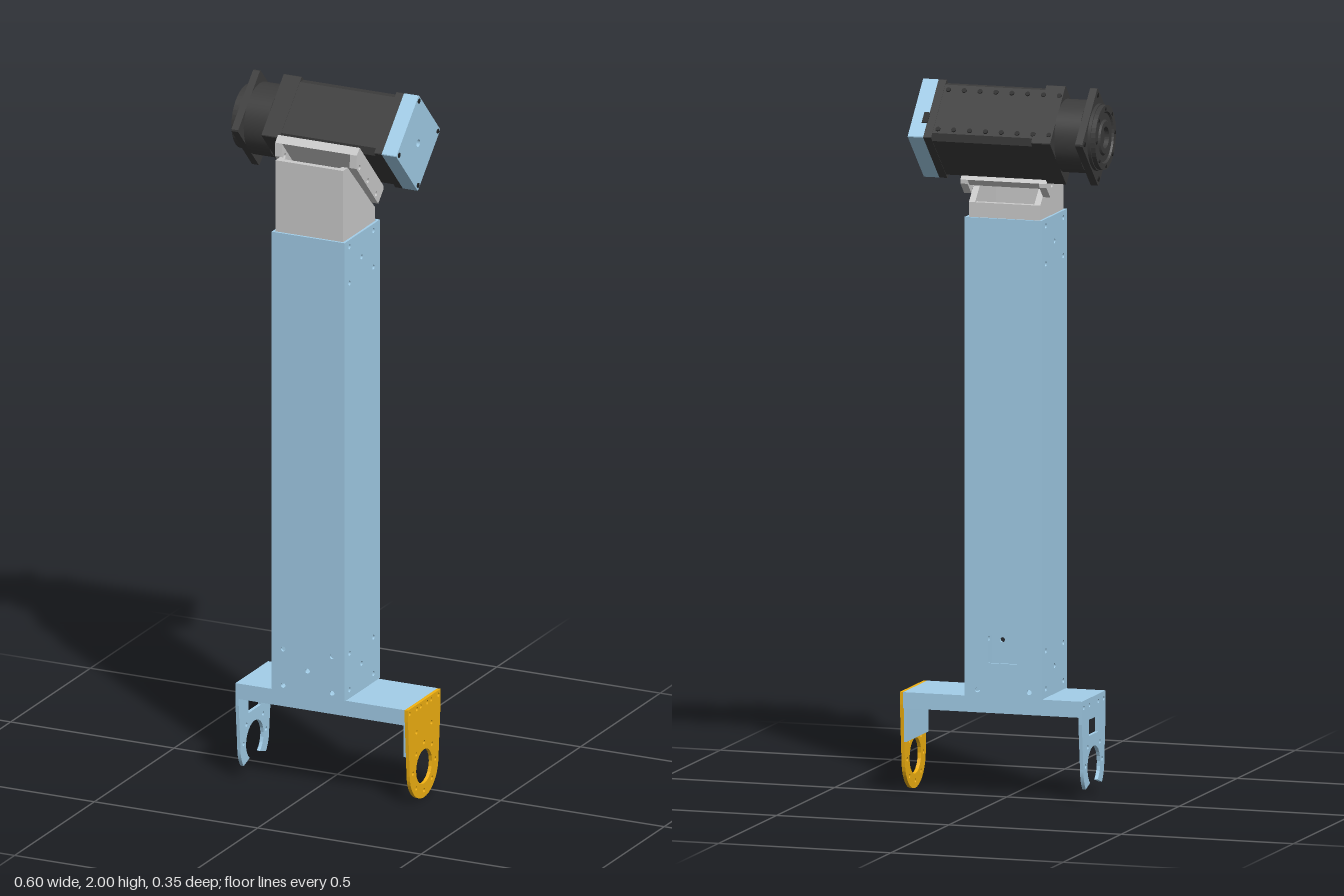
import * as THREE from 'three';

const mat = (color) => new THREE.MeshStandardMaterial({ color, flatShading: false });
const BLUE = mat(0xa3cfea), GREY = mat(0xcccccc), BLACK = mat(0x3c3c3c), YELLOW = mat(0xf2b211), DARK = mat(0x222222);

function add(parent, name, geo, material, x = 0, y = 0, z = 0) {
  const m = new THREE.Mesh(geo, material);
  m.name = name;
  m.position.set(x, y, z);
  parent.add(m);
  return m;
}

// Box given by its limits
function box(parent, name, material, x0, x1, y0, y1, z0, z1) {
  return add(parent, name, new THREE.BoxGeometry(x1 - x0, y1 - y0, z1 - z0), material,
    (x0 + x1) / 2, (y0 + y1) / 2, (z0 + z1) / 2);
}

// Shape from points, with round holes [u, v, r]
function outline(pts, holes = []) {
  const s = new THREE.Shape(pts.map(([u, v]) => new THREE.Vector2(u, v)));
  for (const [u, v, r] of holes) s.holes.push(new THREE.Path().absarc(u, v, r, 0, Math.PI * 2, true));
  return s;
}
const rect = (u0, u1, v0, v1) => [[u0, v0], [u1, v0], [u1, v1], [u0, v1]];
const extrude = (shape, depth) => new THREE.ExtrudeGeometry(shape, { depth, bevelEnabled: false, curveSegments: 10 });

// Plate drawn in the (z, y) plane, filling x0..x1
function sidePlate(parent, name, material, shape, x0, x1) {
  return add(parent, name, extrude(shape, x1 - x0).rotateY(-Math.PI / 2), material, x1);
}

// Cylinder along x
function disc(parent, name, material, r, x0, x1, y = 0, z = 0, seg = 40) {
  return add(parent, name, new THREE.CylinderGeometry(r, r, x1 - x0, seg).rotateZ(Math.PI / 2), material, (x0 + x1) / 2, y, z);
}

// Square with cut corners
function cutSquare(h, c) {
  return outline([[-h + c, -h], [h - c, -h], [h, -h + c], [h, h - c], [h - c, h], [-h + c, h], [-h, h - c], [-h, -h + c]]);
}

// Five screw holes: four corners and the middle
const five = (u, v) => [[u - 0.075, v - 0.053, 0.007], [u + 0.075, v - 0.053, 0.007],
  [u - 0.075, v + 0.053, 0.007], [u + 0.075, v + 0.053, 0.007], [u, v, 0.007]];

function makeColumn() {
  const g = new THREE.Group();
  g.name = 'column';
  const x0 = -0.115, x1 = 0.108, y0 = 0.285, y1 = 1.62, z0 = -0.045, z1 = 0.177, t = 0.007;
  const face = rect(x0, x1, y0, y1);
  add(g, 'columnFront', extrude(outline(face, five(-0.005, 0.357)), t), BLUE, 0, 0, z1 - t);
  const back = outline(face, five(-0.005, 0.357).slice(0, 2));
  back.holes.push(new THREE.Path(rect(-0.045, 0.04, 0.38, 0.46).reverse().map(([a, b]) => new THREE.Vector2(a, b))));
  add(g, 'columnBack', extrude(back, t), BLUE, 0, 0, z0);
  const side = outline(rect(z0 + t, z1 - t, y0, y1), [...five(0.07, 0.363), ...five(0.07, 1.547)]);
  sidePlate(g, 'columnLeftSide', BLUE, side, x1 - t, x1);
  sidePlate(g, 'columnRightSide', BLUE, side, x0, x0 + t);
  return g;
}

function makeBase() {
  const g = new THREE.Group();
  g.name = 'base';
  box(g, 'baseBeam', BLUE, -0.22, 0.288, 0.24, 0.285, -0.038, 0.168);
  box(g, 'innerTab', BLUE, 0.281, 0.288, 0.145, 0.24, -0.03, 0.16);
  const cz = 0.067, cy = 0.092, R = 0.09;

  // Closed ring plate
  const ring = new THREE.Shape();
  ring.moveTo(-0.037, 0.285);
  ring.lineTo(-0.037, 0.25);
  ring.absarc(cz, cy, R, Math.PI + 0.05, Math.PI * 2 - 0.05, false);
  ring.lineTo(0.168, 0.25);
  ring.lineTo(0.168, 0.285);
  const small = [];
  for (let i = 0; i < 8; i++) {
    const a = i * Math.PI / 4;
    small.push([cz + 0.07 * Math.cos(a), cy + 0.07 * Math.sin(a), 0.006]);
  }
  for (const d of [-0.09, -0.045, -0.02, 0.02, 0.045, 0.09]) small.push([cz + d, 0.272, 0.006]);
  small.push([cz - 0.047, 0.205, 0.006], [cz + 0.047, 0.205, 0.006]);
  for (const [u, v, r] of [[cz, cy, 0.05], ...small])
    ring.holes.push(new THREE.Path().absarc(u, v, r, 0, Math.PI * 2, true));
  sidePlate(g, 'ringPlate', YELLOW, ring, 0.288, 0.298);

  // Open hook plate
  const hook = new THREE.Shape();
  const yEnd = 0.035, a = Math.asin((yEnd - cy) / R), r = 0.055, b = -0.95;
  hook.moveTo(-0.037, 0.285);
  hook.lineTo(-0.037, 0.22);
  hook.absarc(cz, cy, R, Math.PI, Math.PI - a, false);
  hook.absarc(cz, cy, r, Math.PI - b, b, true);
  hook.absarc(cz, cy, R, a, 0, false);
  hook.lineTo(0.168, 0.22);
  hook.lineTo(0.168, 0.285);
  hook.holes.push(new THREE.Path(rect(0.027, 0.107, 0.18, 0.225).reverse().map(([u, v]) => new THREE.Vector2(u, v))));
  for (const [u, v] of [[-0.02, 0.265], [0.03, 0.265], [0.105, 0.265], [0.152, 0.265], [-0.004, 0.1], [0.138, 0.1], [0.015, 0.15], [0.119, 0.15]])
    hook.holes.push(new THREE.Path().absarc(u, v, 0.006, 0, Math.PI * 2, true));
  sidePlate(g, 'hookPlate', BLUE, hook, -0.23, -0.22);
  return g;
}

function makeNeck() {
  const g = new THREE.Group();
  g.name = 'neckMount';
  const cheek = outline([[-0.03, 1.48], [0.17, 1.48], [0.17, 1.827], [0.14, 1.827], [-0.03, 1.66]]);
  sidePlate(g, 'neckLeftCheek', GREY, cheek, 0.082, 0.1);
  sidePlate(g, 'neckRightCheek', GREY, cheek, -0.107, -0.089);
  box(g, 'neckFront', GREY, -0.089, 0.082, 1.48, 1.827, 0.152, 0.17);
  box(g, 'neckBack', GREY, -0.089, 0.082, 1.48, 1.66, -0.03, -0.012);
  return g;
}

function makeHead() {
  const g = new THREE.Group();
  g.name = 'tiltedHead';
  g.position.set(0, 1.862, -0.04);
  g.rotation.x = -0.81;

  // Saddle bracket under the motor
  box(g, 'saddlePlate', GREY, -0.128, 0.122, -0.122, -0.097, -0.1, 0.116);
  const flange = outline([[-0.108, -0.15], [0.09, -0.15], [0.116, -0.122], [0.116, -0.097], [-0.1, -0.097], [-0.108, -0.105]],
    [[-0.075, -0.137, 0.007], [0, -0.137, 0.007], [0.075, -0.137, 0.007]]);
  sidePlate(g, 'saddleLeftFlange', GREY, flange, 0.101, 0.122);
  sidePlate(g, 'saddleRightFlange', GREY, flange, -0.128, -0.107);

  // Motor body and ends
  const h = 0.098;
  sidePlate(g, 'motorBody', BLACK, cutSquare(h - 0.001, 0.016), -0.13, 0.16);
  sidePlate(g, 'motorFrontBlock', BLACK, cutSquare(h, 0.002), -0.185, -0.13);
  sidePlate(g, 'motorRearBlock', BLACK, cutSquare(h, 0.002), 0.16, 0.183);
  disc(g, 'motorNeck', BLACK, 0.101, -0.257, -0.185);
  sidePlate(g, 'mountingFlange', BLACK, cutSquare(h, 0.004), -0.278, -0.257);
  disc(g, 'outputStep', BLACK, 0.093, -0.287, -0.278);

  // Output hub with a recessed centre
  const hub = [[0.03, 0], [0.03, 0.014], [0.045, 0.014], [0.05, 0.009], [0.068, 0.009], [0.072, 0.014], [0.09, 0.014], [0.09, 0]]
    .map(([r, y]) => new THREE.Vector2(r, y));
  const hubGeo = new THREE.LatheGeometry(hub.slice().reverse(), 40).rotateZ(Math.PI / 2);
  const hubMat = BLACK.clone();
  hubMat.side = THREE.DoubleSide;
  hubMat.flatShading = true;
  add(g, 'outputHub', hubGeo, hubMat, -0.286);
  for (let i = 0; i < 8; i++) {
    const t = i * Math.PI / 4;
    disc(g, 'hubBolt', DARK, 0.005, -0.302, -0.298, 0.08 * Math.cos(t), 0.08 * Math.sin(t), 8);
  }

  // Rear cap with screws, centre hole and connector
  const cap = cutSquare(h, 0.002);
  cap.holes.push(new THREE.Path().absarc(0, 0, 0.011, 0, Math.PI * 2, true));
  sidePlate(g, 'rearCap', BLUE, cap, 0.183, 0.228);
  for (const sy of [-1, 1]) for (const sz of [-1, 1]) {
    disc(g, 'capScrew', DARK, 0.007, 0.226, 0.23, sy * 0.086, sz * 0.086, 12);
    disc(g, 'flangeBolt', DARK, 0.007, -0.28, -0.277, sy * 0.083, sz * 0.083, 12);
  }
  box(g, 'connector', DARK, 0.181, 0.198, 0.09, 0.0995, -0.05, -0.015);

  // Rows of bolts on the upper face
  for (let i = 0; i < 8; i++) for (const z of [-0.068, 0.064])
    add(g, 'bodyBolt', new THREE.CylinderGeometry(0.007, 0.007, 0.004, 12), DARK, -0.175 + i * 0.046, h, z);
  return g;
}

export function createModel() {
  const model = new THREE.Group();
  model.name = 'robotArmLink';
  model.add(makeBase(), makeColumn(), makeNeck(), makeHead());
  return model;
}
